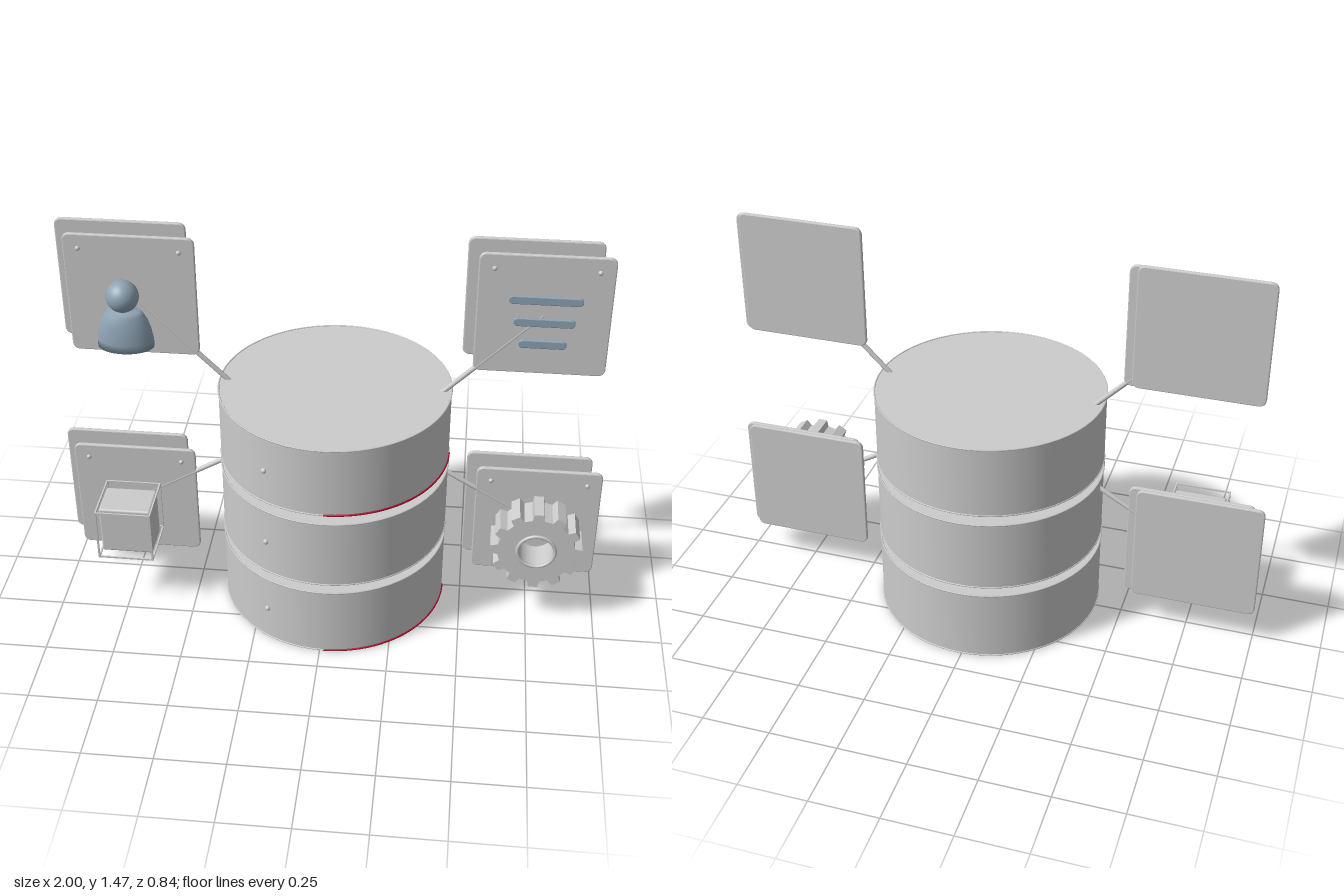
import * as THREE from 'three';
import { RoundedBoxGeometry } from 'three/addons/geometries/RoundedBoxGeometry.js';

const grey = new THREE.MeshStandardMaterial({ color: 0xcccccc });
const shell = new THREE.MeshStandardMaterial({ color: 0xcccccc, side: THREE.DoubleSide });
const slate = new THREE.MeshStandardMaterial({ color: 0x8ea3b4 });
const red = new THREE.MeshStandardMaterial({ color: 0xb01030 });

const CX = 0.015;   // axis of the drum stack
const R = 0.415;    // drum radius

function add(parent, name, geometry, material, x = 0, y = 0, z = 0) {
  const mesh = new THREE.Mesh(geometry, material);
  mesh.name = name;
  mesh.position.set(x, y, z);
  parent.add(mesh);
  return mesh;
}

function roundedRect(w, h, r) {
  const s = new THREE.Shape();
  const x = w / 2 - r, y = h / 2 - r;
  s.absarc(x, y, r, 0, Math.PI / 2);
  s.absarc(-x, y, r, Math.PI / 2, Math.PI);
  s.absarc(-x, -y, r, Math.PI, Math.PI * 1.5);
  s.absarc(x, -y, r, Math.PI * 1.5, Math.PI * 2);
  s.closePath();
  return s;
}

// Plate centred on its own depth
function plate(shape, depth, bevel = 0) {
  const g = new THREE.ExtrudeGeometry(shape, {
    depth: depth - 2 * bevel, curveSegments: 8, bevelEnabled: bevel > 0,
    bevelSize: bevel, bevelThickness: bevel, bevelOffset: -bevel, bevelSegments: 2,
  });
  return g.translate(0, 0, -(depth - 2 * bevel) / 2);
}

function rod(parent, name, a, b, radius) {
  const from = new THREE.Vector3(...a), to = new THREE.Vector3(...b);
  const dir = to.clone().sub(from);
  const mesh = add(parent, name, new THREE.CylinderGeometry(radius, radius, dir.length(), 12), grey);
  mesh.position.copy(from).add(to).multiplyScalar(0.5);
  mesh.quaternion.setFromUnitVectors(new THREE.Vector3(0, 1, 0), dir.normalize());
}

// Drum: closed on top, hollow and open underneath
function makeDrum(y0, y1, marked) {
  const drum = new THREE.Group();
  drum.name = 'drum';
  add(drum, 'drumWall', new THREE.CylinderGeometry(R, R, y1 - y0, 64, 1, true), shell, CX, (y0 + y1) / 2);
  add(drum, 'drumLid', new THREE.CircleGeometry(R, 64), shell, CX, y1).rotation.x = -Math.PI / 2;
  for (const y of [y0, y1]) {
    add(drum, 'drumRim', new THREE.TorusGeometry(R, 0.003, 6, 64), grey, CX, y).rotation.x = Math.PI / 2;
  }
  if (marked) {
    add(drum, 'redRimArc', new THREE.TorusGeometry(R, 0.0045, 6, 24, Math.PI / 2), red, CX, y0).rotation.x = Math.PI / 2;
  }
  add(drum, 'drumStud', new THREE.SphereGeometry(0.01, 12, 8), grey, -0.195, (y0 + y1) / 2, 0.36);
  return drum;
}

// Pair of stacked cards with two studs, joined to the drums by a rod
function makeCard(x, y, rodEnd) {
  const card = new THREE.Group();
  card.name = 'card';
  const geo = plate(roundedRect(0.457, 0.457, 0.025), 0.016, 0.004);
  add(card, 'frontPanel', geo, grey, x, y, 0);
  add(card, 'backPanel', geo, grey, x - 0.038, y + 0.028, -0.056);
  for (const s of [-1, 1]) {
    add(card, 'panelStud', new THREE.SphereGeometry(0.009, 12, 8), grey, x + s * 0.175, y + 0.175, 0.008);
  }
  rod(card, 'connectingRod', [x, y, 0], [...rodEnd, 0], 0.009);
  return card;
}

function makePerson() {
  const person = new THREE.Group();
  person.name = 'person';
  add(person, 'head', new THREE.SphereGeometry(0.056, 32, 20), slate, 0, 0.19, 0);
  const profile = [[0, 0], [0.098, 0], [0.097, 0.03], [0.091, 0.065], [0.081, 0.098], [0.068, 0.122], [0.056, 0.137], [0, 0.14]]
    .map(([r, y]) => new THREE.Vector2(r, y));
  add(person, 'torso', new THREE.LatheGeometry(profile, 40), slate).scale.z = 0.66;
  return person;
}

function makeTextBars() {
  const bars = new THREE.Group();
  bars.name = 'listBars';
  [0.245, 0.205, 0.16].forEach((w, i) => {
    add(bars, 'listBar', plate(roundedRect(w, 0.03, 0.0145), 0.012, 0.003), slate, 0, 0.083 * (1 - i), 0);
  });
  return bars;
}

// Solid block inside a square wire cage
function makeCube() {
  const cube = new THREE.Group();
  cube.name = 'cube';
  add(cube, 'block', new RoundedBoxGeometry(0.19, 0.19, 0.14, 2, 0.008), grey);
  const h = 0.1, t = 0.006;
  for (const a of [-h, h]) {
    for (const b of [-h, h]) {
      add(cube, 'cageBar', new THREE.BoxGeometry(2 * h + t, t, t), grey, 0, a, b);
      add(cube, 'cageBar', new THREE.BoxGeometry(t, 2 * h + t, t), grey, a, 0, b);
      add(cube, 'cageBar', new THREE.BoxGeometry(t, t, 2 * h + t), grey, a, b, 0);
    }
  }
  return cube;
}

function makeGear() {
  const gear = new THREE.Group();
  gear.name = 'gear';
  const teeth = 12, step = (Math.PI * 2) / teeth;
  const points = [];
  for (let i = 0; i < teeth; i++) {
    for (const [r, f] of [[0.14, -0.3], [0.166, -0.2], [0.166, 0.2], [0.14, 0.3]]) {
      const a = (i + f) * step;
      points.push(new THREE.Vector2(r * Math.cos(a), r * Math.sin(a)));
    }
  }
  const shape = new THREE.Shape(points);
  shape.holes.push(new THREE.Path().absarc(0, 0, 0.066, 0, Math.PI * 2, true));
  const body = new THREE.ExtrudeGeometry(shape, { depth: 0.114, bevelEnabled: false, curveSegments: 32 });
  add(gear, 'gearBody', body.translate(0, 0, -0.057), grey);
  add(gear, 'gearHubRing', new THREE.TorusGeometry(0.068, 0.007, 8, 40), grey, 0, 0, 0.057);
  return gear;
}

export function createModel() {
  const model = new THREE.Group();
  model.name = 'databaseStack';

  // Three stacked drums
  model.add(makeDrum(0.005, 0.275, true), makeDrum(0.315, 0.583, false), makeDrum(0.625, 0.892, true));

  // Four cards, mirrored about the drum axis
  for (const s of [-1, 1]) {
    model.add(makeCard(CX + s * 0.71, 1.218, [CX + s * 0.36, 0.865]));
    model.add(makeCard(CX + s * 0.75, 0.343, [CX + s * 0.21, 0.66]));
  }

  // Symbols floating in front of the cards
  const symbols = [
    [makePerson(), -0.695, 1.095, 0.133],
    [makeTextBars(), CX + 0.707, 1.261, 0.127],
    [makeCube(), CX - 0.752, 0.343, 0.153],
    [makeGear(), CX + 0.75, 0.343, 0.131],
  ];
  for (const [symbol, x, y, z] of symbols) {
    symbol.position.set(x, y, z);
    model.add(symbol);
  }
  return model;
}
